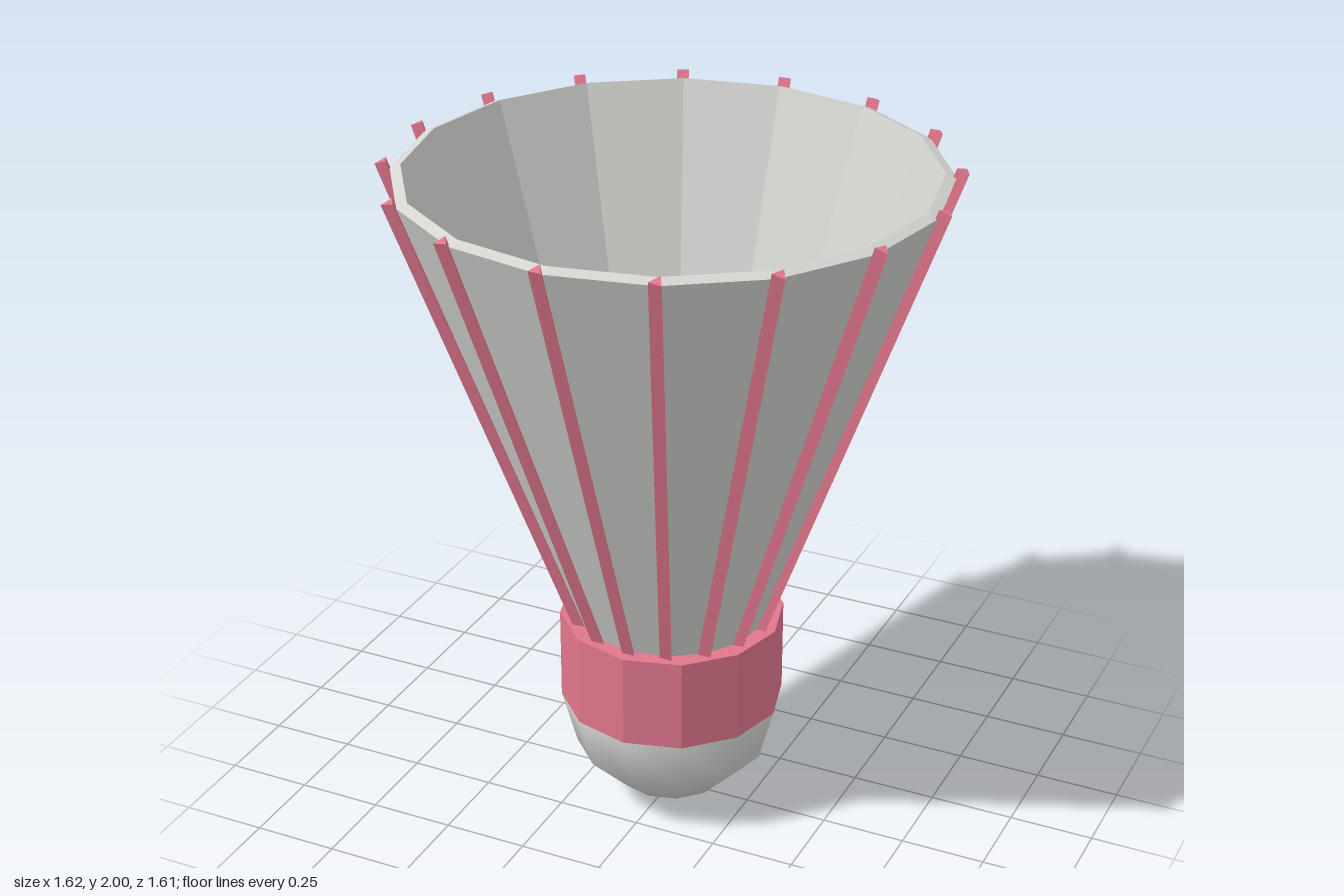
import * as THREE from 'three';

const white = new THREE.MeshStandardMaterial({ color: 0xd4d4d1 });
white.name = 'offWhite';
const pink = new THREE.MeshStandardMaterial({ color: 0xe0768c });
pink.name = 'pink';

// Gives every face its own normal for a low-poly look
function faceted(geometry) {
  const g = geometry.toNonIndexed();
  g.computeVertexNormals();
  return g;
}

function addMesh(parent, name, geometry, material) {
  const mesh = new THREE.Mesh(geometry, material);
  mesh.name = name;
  parent.add(mesh);
  return mesh;
}

export function createModel() {
  const group = new THREE.Group();
  group.name = 'shuttlecock';

  // Rounded cork; its upper cap shows inside the skirt
  const cork = addMesh(group, 'cork', new THREE.SphereGeometry(0.33, 12, 6), white);
  cork.position.y = 0.33;

  // Band around the cork
  const band = addMesh(group, 'band', faceted(new THREE.CylinderGeometry(0.33, 0.33, 0.28, 12)), pink);
  band.position.y = 0.47;

  // Thick-walled flared skirt with a rim square to its slope
  const profile = [
    [0.258, 0.55], [0.77, 1.972], [0.74, 1.984], [0.228, 0.55],
  ].map(([r, y]) => new THREE.Vector2(r, y));
  addMesh(group, 'skirt', faceted(new THREE.LatheGeometry(profile, 16)), white);

  // Triangular ribs along the corners of the skirt
  const ribs = new THREE.Group();
  ribs.name = 'ribs';
  group.add(ribs);
  const up = new THREE.Vector3(0, 1, 0);
  const length = Math.hypot(0.79 - 0.262, 1.993 - 0.55);
  const ribGeometry = faceted(new THREE.CylinderGeometry(0.022, 0.022, length, 3).rotateY(Math.PI));
  for (let i = 0; i < 16; i++) {
    const a = (i / 16) * Math.PI * 2;
    const at = (r, y) => new THREE.Vector3(Math.sin(a) * r, y, Math.cos(a) * r);
    const bottom = at(0.262, 0.55);
    const top = at(0.79, 1.993);
    const rib = addMesh(ribs, 'rib', ribGeometry, pink);
    rib.position.copy(bottom).lerp(top, 0.5);
    rib.quaternion.setFromUnitVectors(up, top.sub(bottom).normalize());
  }

  return group;
}
